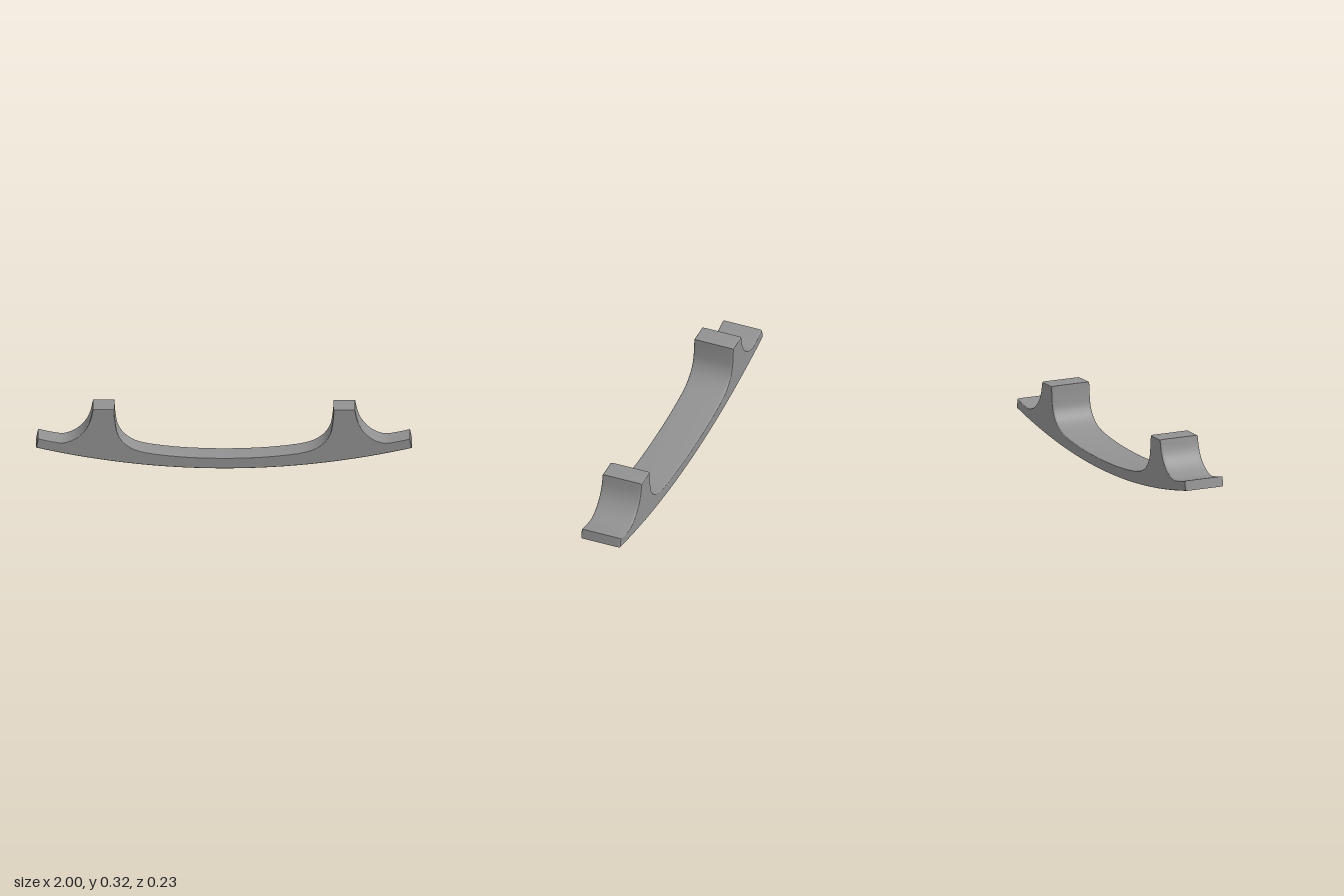
import * as THREE from 'three';
import { toCreasedNormals } from 'three/addons/utils/BufferGeometryUtils.js';

const v = (x, y) => new THREE.Vector2(x, y);
const smooth = (points, n) => new THREE.SplineCurve(points).getPoints(n);

export function createModel() {
  const group = new THREE.Group();
  group.name = 'pullHandle';

  // Right half of the side profile, from the bottom centre round to the top centre
  const underside = new THREE.QuadraticBezierCurve(v(0, 0), v(0.5, 0), v(1, 0.113)).getPoints(24);
  const outerSweep = smooth([
    v(0.989, 0.166), v(0.915, 0.15), v(0.85, 0.144), v(0.79, 0.166),
    v(0.742, 0.208), v(0.713, 0.26), v(0.697, 0.325),
  ], 30);
  const innerSweep = smooth([
    v(0.583, 0.325), v(0.577, 0.255), v(0.562, 0.188), v(0.516, 0.131),
    v(0.425, 0.092), v(0.22, 0.067), v(0, 0.059),
  ], 30);
  const half = [...underside, ...outerSweep, ...innerSweep];

  // Mirror the half, leaving out the shared centre points
  const mirrored = half.slice(1, -1).reverse().map((p) => v(-p.x, p.y));
  const shape = new THREE.Shape([...half, ...mirrored]);

  // Extrude across the width with softly rounded edges
  const width = 0.226, round = 0.014, inset = 0.005;
  const extruded = new THREE.ExtrudeGeometry(shape, {
    depth: width - 2 * round,
    bevelEnabled: true,
    bevelThickness: round,
    bevelSize: inset,
    bevelOffset: -inset,
    bevelSegments: 4,
  });
  extruded.translate(0, 0, -width / 2 + round);

  // Keep the two flat sides evenly shaded up to the rounded edge
  const geometry = toCreasedNormals(extruded, 0.9);
  const { position, normal } = geometry.attributes;
  for (let i = 0; i < position.count; i++) {
    const z = position.getZ(i);
    if (Math.abs(z) > width / 2 - 1e-4) normal.setXYZ(i, 0, 0, Math.sign(z));
  }

  const handle = new THREE.Mesh(geometry, new THREE.MeshStandardMaterial({ color: 0x919191 }));
  handle.name = 'curvedBarWithPosts';
  group.add(handle);
  return group;
}
